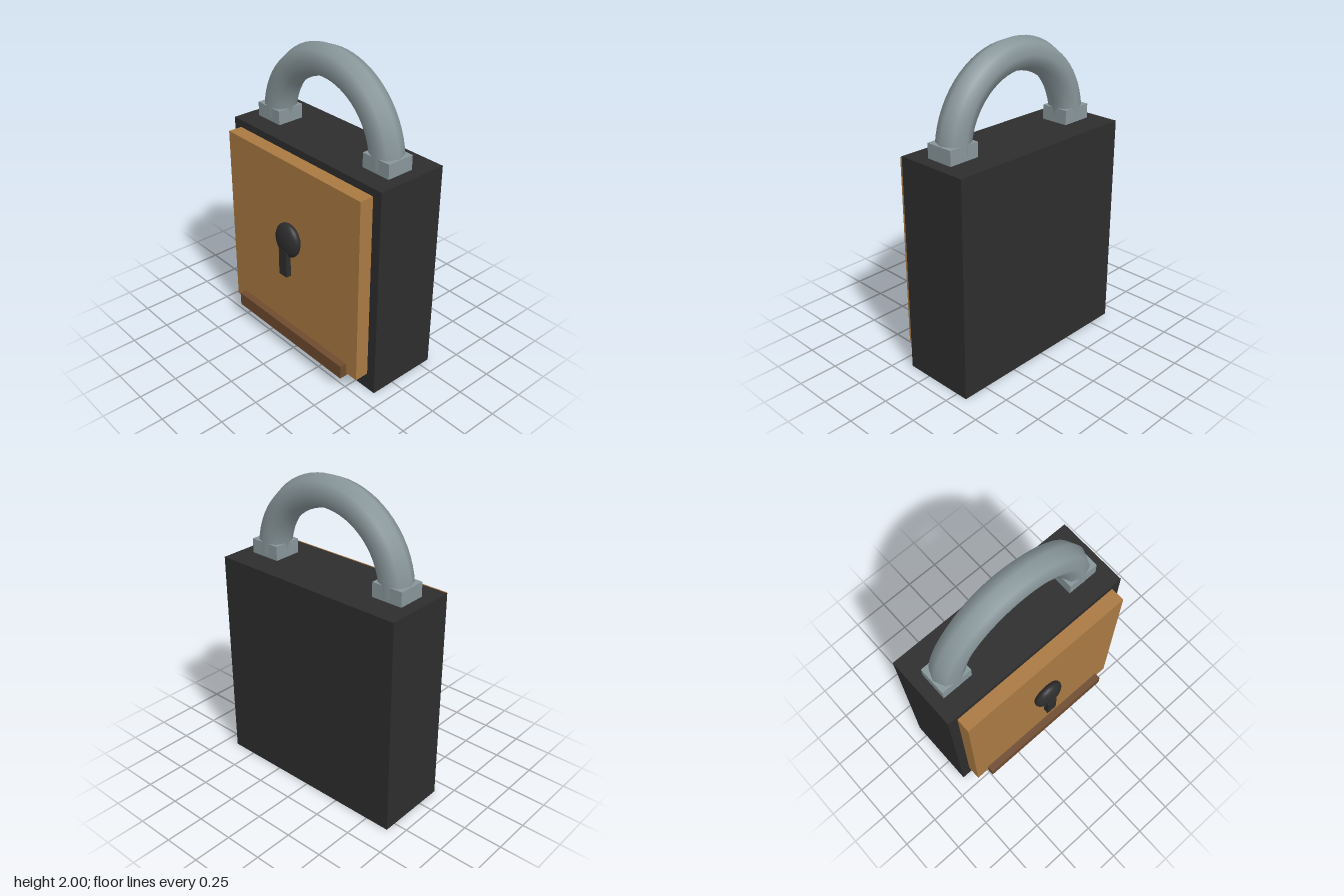
import * as THREE from 'three';

export function createModel() {
  const group = new THREE.Group();
  const material = (name, color) => {
    const m = new THREE.MeshStandardMaterial({ color });
    m.name = name;
    return m;
  };
  const black = material('black iron', 0x2d2d2d);
  const brass = material('brass', 0xaa7942);
  const brown = material('brown', 0x6f4b2f);
  const steel = material('steel', 0x88969a);

  const add = (name, geometry, mat, x = 0, y = 0, z = 0) => {
    const mesh = new THREE.Mesh(geometry, mat);
    mesh.name = name;
    mesh.position.set(x, y, z);
    group.add(mesh);
    return mesh;
  };
  // Box given by its lower and upper limits on each axis
  const box = (name, mat, [x0, x1], [y0, y1], [z0, z1]) =>
    add(name, new THREE.BoxGeometry(x1 - x0, y1 - y0, z1 - z0), mat,
      (x0 + x1) / 2, (y0 + y1) / 2, (z0 + z1) / 2);

  // Lock case with its raised face and lower trim
  box('body', black, [-0.66, 0.66], [0, 1.4], [-0.325, 0.157]);
  box('facePlate', brass, [-0.597, 0.597], [0.115, 1.352], [0.15, 0.25]);
  box('lowerTrim', brown, [-0.506, 0.506], [0.095, 0.186], [0.235, 0.296]);

  // Keyhole: flattened ball above a narrow slot
  add('keyholeRound', new THREE.SphereGeometry(1, 24, 16), black, 0, 0.842, 0.275)
    .scale.set(0.104, 0.115, 0.05);
  box('keyholeSlot', black, [-0.035, 0.035], [0.604, 0.785], [0.286, 0.321]);

  // Shackle: half ring with an eight-sided section
  add('shackle', new THREE.TorusGeometry(0.475, 0.102, 8, 32, Math.PI), steel, 0, 1.423, -0.066);

  // Collars where the shackle enters the case
  for (const side of [-1, 1]) {
    const collar = box('shackleCollar', steel, [0.374, 0.58], [1.38, 1.492], [-0.158, 0.026]);
    collar.position.x *= side;
  }
  return group;
}
